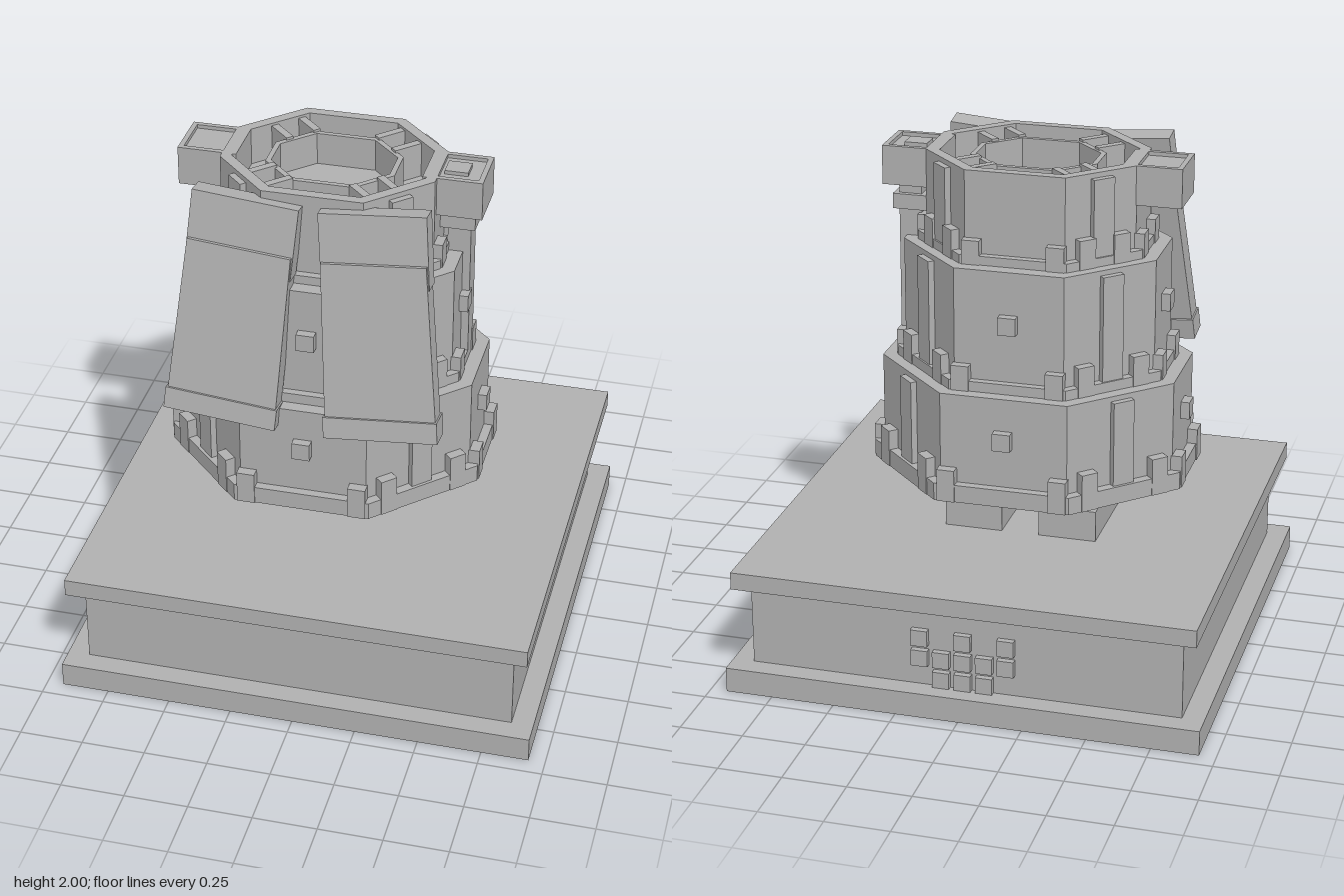
import * as THREE from 'three';

const stone = new THREE.MeshStandardMaterial({ color: 0xb0b0b0 });
stone.name = 'grey stone';

function mesh(parent, name, geometry, x = 0, y = 0, z = 0) {
  const m = new THREE.Mesh(geometry, stone);
  m.name = name;
  m.position.set(x, y, z);
  parent.add(m);
  return m;
}

// Box given by its limits
function block(parent, name, x0, x1, y0, y1, z0, z1) {
  return mesh(parent, name, new THREE.BoxGeometry(x1 - x0, y1 - y0, z1 - z0),
    (x0 + x1) / 2, (y0 + y1) / 2, (z0 + z1) / 2);
}

function group(parent, name, x = 0, y = 0, z = 0) {
  const g = new THREE.Group();
  g.name = name;
  g.position.set(x, y, z);
  parent.add(g);
  return g;
}

// Octagon with half width w, half depth d and 45 degree corners on x + z = s
function octagon({ w, d, s }, Type = THREE.Shape) {
  const a = s - d, b = s - w;
  return new Type([[a, d], [-a, d], [-w, b], [-w, -b], [-a, -d], [a, -d], [w, -b], [w, b]]
    .map(([x, z]) => new THREE.Vector2(x, z)));
}

function slab(parent, name, oct, y0, y1, hole) {
  const shape = octagon(oct);
  if (hole) shape.holes.push(octagon(hole, THREE.Path));
  const g = new THREE.ExtrudeGeometry(shape, { depth: y1 - y0, bevelEnabled: false });
  g.rotateX(-Math.PI / 2);
  return mesh(parent, name, g, 0, y0, 0);
}

// The eight faces of an octagon, each with its outward +z frame
function eachFace(parent, { w, d, s }, fn) {
  const a = s - d, b = s - w;
  for (let i = 0; i < 8; i++) {
    const angle = i * Math.PI / 4, diagonal = i % 2 === 1;
    const sx = Math.sign(Math.round(Math.sin(angle) * 10));
    const sz = Math.sign(Math.round(Math.cos(angle) * 10));
    const f = group(parent, 'face', sx * (diagonal ? (a + w) / 2 : w), 0, sz * (diagonal ? (d + b) / 2 : d));
    f.rotation.y = angle;
    fn(f, diagonal, diagonal ? (w - a) * Math.SQRT1_2 : (i % 4 === 0 ? a : b));
  }
}

// One storey: wall, base course, battlements, pilasters and studs
function tier(parent, { y0, y1, wall, out, course, studY, hole, floorY }) {
  const g = group(parent, 'tier');
  if (hole) {
    slab(g, 'wall', wall, y0, floorY);
    slab(g, 'parapet', wall, floorY, y1, hole);
  } else slab(g, 'wall', wall, y0, y1);
  const base = { w: wall.w + out, d: wall.d + out, s: wall.s + out * 1.5 };
  slab(g, 'baseCourse', base, y0, y0 + course);
  eachFace(g, wall, (f, diagonal, half) => {
    const top = y0 + course + (diagonal ? 0.08 : 0.06);
    for (const side of [-1, 1]) {
      const x = side * (half - (diagonal ? 0.08 : 0.03));
      block(f, 'battlement', x - 0.035, x + 0.035, y0, top, -0.02, out + 0.005);
    }
    if (diagonal) block(f, 'pilaster', -0.045, 0.045, y0, y1 - 0.02, -0.02, 0.025);
    else if (studY) block(f, 'stud', -0.035, 0.035, studY, studY + 0.07, -0.01, 0.035);
  });
}

// Hanging plate pair, leaning outwards at the bottom
function shield(parent, side) {
  const g = group(parent, 'shield', side * 0.2375, 2, 0.345);
  g.rotation.set(-0.16, 0, side * 0.085);
  block(g, 'upperPlate', -0.205, 0.205, -0.31, -0.025, -0.043, 0.043);
  const lower = block(g, 'lowerPlate', -0.2, 0.2, -0.85, -0.215, -0.03, 0.06);
  // widen towards the bottom edge
  const p = lower.geometry.attributes.position;
  for (let i = 0; i < p.count; i++) if (p.getY(i) < 0) p.setX(i, p.getX(i) * 1.07);
  block(g, 'bottomBar', -0.22, 0.22, -0.915, -0.83, -0.04, 0.07);
}

export function createModel() {
  const model = new THREE.Group();
  model.name = 'towerFigure';

  // Plinth
  const plinth = group(model, 'plinth');
  block(plinth, 'plinthFoot', -0.935, 0.935, 0, 0.1, -0.935, 0.935);
  block(plinth, 'plinthCore', -0.85, 0.85, 0.1, 0.43, -0.85, 0.85);
  block(plinth, 'plinthTop', -0.91, 0.91, 0.43, 0.5, -0.91, 0.91);

  // Raised block pattern on the back
  ['.XXX.', 'XXXXX', 'X.X.X'].forEach((row, r) => [...row].forEach((c, i) => {
    if (c !== 'X') return;
    const x = (i - 2) * 0.085, y = 0.135 + r * 0.084;
    block(plinth, 'reliefBlock', x - 0.033, x + 0.033, y - 0.033, y + 0.033, -0.875, -0.84);
  }));

  const figure = group(model, 'figure', -0.06, 0, 0);

  // Feet and legs
  for (const s of [-1, 1]) {
    const leg = group(figure, 'leg', s * 0.19, 0, 0);
    block(leg, 'foot', -0.115, 0.115, 0.5, 0.625, -0.265, 0.115);
    block(leg, 'toeStrap', -0.105, 0.105, 0.625, 0.66, -0.235, -0.125);
    block(leg, 'shin', -0.105, 0.105, 0.625, 0.74, -0.11, 0.11);
  }

  // Three stacked storeys
  tier(figure, { y0: 0.73, y1: 1.16, wall: { w: 0.585, d: 0.505, s: 0.755 }, out: 0.035, course: 0.07, studY: 0.96 });
  tier(figure, { y0: 1.16, y1: 1.64, wall: { w: 0.5, d: 0.425, s: 0.64 }, out: 0.03, course: 0.04, studY: 1.4 });
  tier(figure, {
    y0: 1.64, y1: 2, wall: { w: 0.415, d: 0.34, s: 0.535 }, out: 0.03, course: 0.035,
    hole: { w: 0.375, d: 0.3, s: 0.475 }, floorY: 1.85,
  });

  // Open crown: inner ring and diagonal fins
  slab(figure, 'innerRing', { w: 0.25, d: 0.2, s: 0.325 }, 1.8, 1.98, { w: 0.23, d: 0.18, s: 0.295 });
  for (const sx of [-1, 1]) for (const sz of [-1, 1]) {
    const fin = group(figure, 'crownFin', sx * 0.21, 0, sz * 0.2);
    fin.rotation.y = sx * sz * Math.PI / 4;
    for (const x of [-0.06, 0.06]) block(fin, 'fin', x - 0.015, x + 0.015, 1.84, 1.99, -0.07, 0.07);
  }

  // Shoulder boxes with framed tops
  for (const s of [-1, 1]) {
    const box = group(figure, 'shoulder', s * 0.475, 0, -0.015);
    block(box, 'shoulderBox', -0.115, 0.115, 1.845, 1.985, -0.107, 0.107);
    for (const e of [-1, 1]) {
      block(box, 'rim', e * 0.105 - 0.01, e * 0.105 + 0.01, 1.985, 2, -0.107, 0.107);
      block(box, 'rim', -0.095, 0.095, 1.985, 2, e * 0.097 - 0.01, e * 0.097 + 0.01);
    }
    if (s > 0) block(box, 'cap', -0.045, 0.045, 1.985, 2, -0.04, 0.04);
  }

  // Column carrying the left shoulder box
  block(figure, 'column', 0.44, 0.53, 1.16, 1.85, -0.1, -0.01);
  block(figure, 'columnCapital', 0.41, 0.55, 1.75, 1.81, -0.12, 0.015);

  shield(figure, -1);
  shield(figure, 1);
  return model;
}
